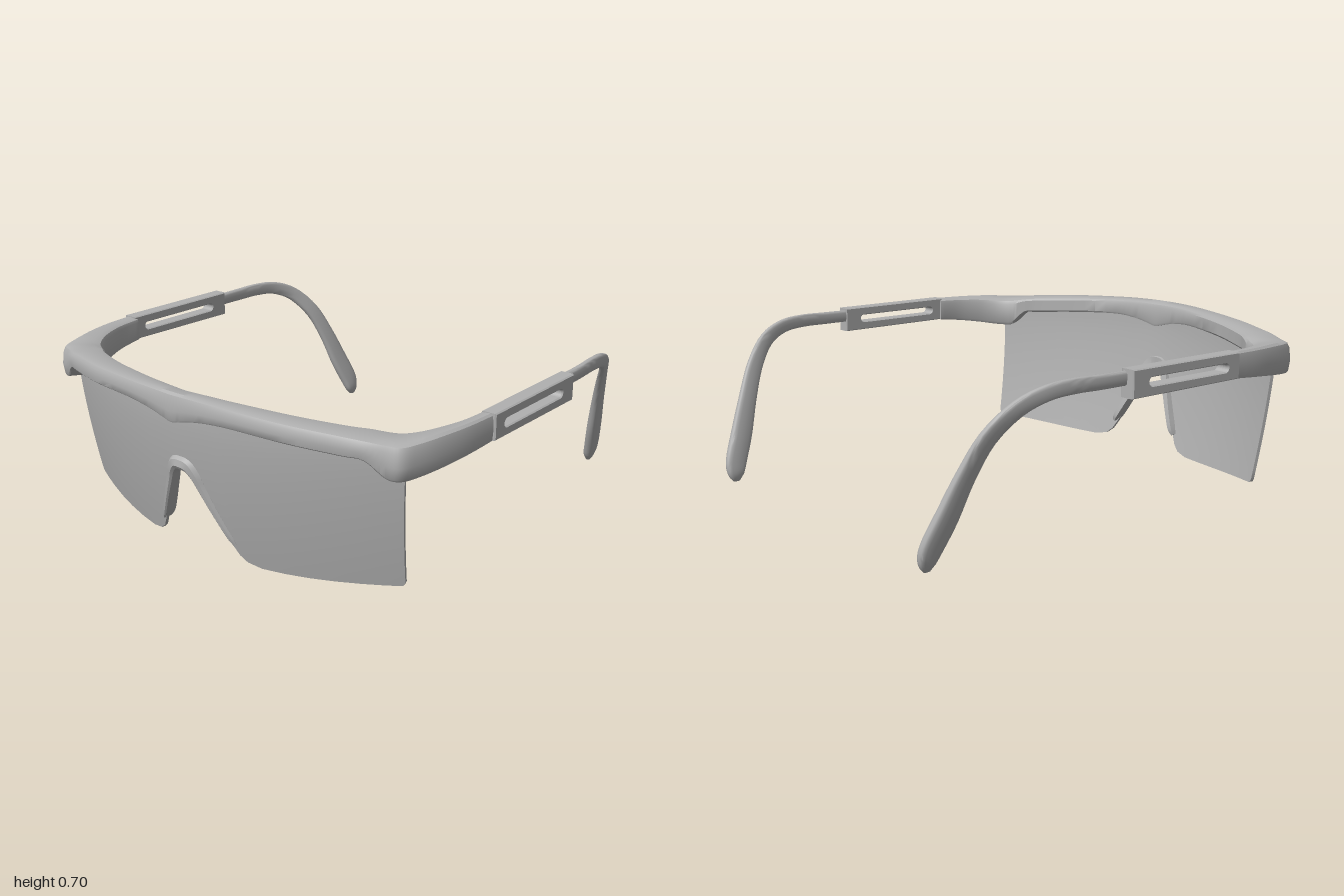
import * as THREE from 'three';
import { toCreasedNormals } from 'three/addons/utils/BufferGeometryUtils.js';

const grey = new THREE.MeshStandardMaterial({ color: 0xb0b0b0 });
grey.name = 'grey plastic';

// Catmull-Rom interpolation of every column of a table of rows
function smoothRows(rows, steps) {
  const out = [];
  const at = (i) => rows[Math.min(Math.max(i, 0), rows.length - 1)];
  for (let i = 0; i < rows.length - 1; i++) {
    for (let s = 0; s < steps; s++) {
      const t = s / steps;
      out.push(rows[i].map((_, c) => {
        const [a, b, d, e] = [at(i - 1)[c], at(i)[c], at(i + 1)[c], at(i + 2)[c]];
        return b + 0.5 * t * (d - a + t * (2 * a - 5 * b + 4 * d - e + t * (3 * (b - d) + e - a)));
      }));
    }
  }
  out.push(rows[rows.length - 1]);
  return out;
}

// Closed, capped skin over a series of equal-length loops of [x, y, z]
function loft(loops, crease = 0.6) {
  const n = loops[0].length, idx = [], pos = loops.flat();
  for (let i = 0; i < loops.length - 1; i++) {
    for (let j = 0; j < n; j++) {
      const a = i * n + j, b = i * n + (j + 1) % n;
      idx.push(a, b, b + n, a, b + n, a + n);
    }
  }
  const last = (loops.length - 1) * n;
  // caps are zipped strip by strip, which suits long thin loops
  for (let l = 0, r = n - 1; l + 1 <= r - 1 || l + 1 === r - 0; l++, r--) {
    if (l + 1 > r - 1) break;
    idx.push(l, r, l + 1, r, r - 1, l + 1);
    idx.push(last + l, last + l + 1, last + r, last + r, last + l + 1, last + r - 1);
  }
  // turn the skin outward if its signed volume is negative
  const v = pos.map((p) => new THREE.Vector3(...p));
  let volume = 0;
  for (let i = 0; i < idx.length; i += 3) {
    volume += v[idx[i]].dot(v[idx[i + 1]].clone().cross(v[idx[i + 2]]));
  }
  if (volume < 0) idx.reverse();
  const g = new THREE.BufferGeometry();
  g.setAttribute('position', new THREE.Float32BufferAttribute(pos.flat(), 3));
  g.setIndex(idx);
  return toCreasedNormals(g, crease);
}

function part(name, geometry) {
  const m = new THREE.Mesh(geometry, grey);
  m.name = name;
  return m;
}

// Front surface of the wraparound lens
function lensZ(x, y) {
  const drop = Math.max(0, (0.6 - y) / 0.6);
  return 0.96 - 0.05 * Math.sqrt(x * x + 0.003) - 0.27 * x * x - 0.095 * Math.pow(drop, 1.5);
}

// Lens: vertical slices following the lower outline with its nose notch
function makeLens() {
  const half = [[0, 0.38], [0.03, 0.377], [0.048, 0.367], [0.065, 0.34], [0.09, 0.29], [0.13, 0.21],
    [0.185, 0.095], [0.21, 0.053], [0.24, 0.028], [0.3, 0.015], [0.4, 0.017], [0.5, 0.022],
    [0.6, 0.029], [0.7, 0.037], [0.78, 0.044], [0.85, 0.05], [0.865, 0.054], [0.872, 0.068]];
  const outline = [...half.slice(1).reverse().map(([x, y]) => [-x, y]), ...half];
  const rows = 14, thick = 0.014;
  return loft(outline.map(([x, bottom]) => {
    const front = [], back = [];
    for (let i = 0; i <= rows; i++) {
      const y = bottom + (0.615 - bottom) * i / rows;
      const low = Math.max(0, (0.5 - y) / 0.5);
      const px = x * (1 - 0.04 * low * Math.pow(Math.abs(x) / 0.87, 4));
      const z = lensZ(px, y);
      front.push([px, y, z]);
      back.unshift([px * 0.995, y, z - thick]);
    }
    return [...front, ...back];
  }), 0.7);
}

// Brow bar sweeping round both corners into the side arms
function makeBrow() {
  // outer x, outer z, inner x, inner z, top y, bottom y
  const half = [
    [0, 0.985, 0, 0.9, 0.7, 0.585], [0.05, 0.984, 0.05, 0.898, 0.7, 0.596],
    [0.12, 0.98, 0.12, 0.892, 0.699, 0.61], [0.25, 0.966, 0.24, 0.873, 0.695, 0.62],
    [0.5, 0.917, 0.47, 0.81, 0.682, 0.607], [0.7, 0.85, 0.65, 0.735, 0.668, 0.592],
    [0.78, 0.82, 0.715, 0.693, 0.661, 0.585], [0.85, 0.788, 0.765, 0.657, 0.656, 0.527],
    [0.9, 0.763, 0.805, 0.628, 0.653, 0.52], [0.928, 0.7, 0.845, 0.585, 0.656, 0.525],
    [0.955, 0.6, 0.88, 0.525, 0.661, 0.536], [0.977, 0.47, 0.912, 0.43, 0.664, 0.55],
    [0.987, 0.32, 0.925, 0.32, 0.666, 0.563]];
  const full = [...half.slice(1).reverse().map(([a, b, c, ...r]) => [-a, b, -c, ...r]), ...half];
  // cross-section: u from outer to inner, v from bottom to top
  const profile = [[0.04, 0], [0, 0.06], [-0.04, 0.4], [0, 0.78], [0.06, 0.93], [0.2, 1],
    [0.75, 0.97], [0.94, 0.9], [1, 0.78], [1, 0.1], [0.95, 0]];
  return loft(smoothRows(full, 4).map(([ox, oz, ix, iz, t, b]) =>
    profile.map(([u, v]) => [ox + (ix - ox) * u, b + (t - b) * v, oz + (iz - oz) * u])));
}

// Nose bridge: raised rim along the notch, deepening into pads at its feet
function makeNoseRim() {
  // x, y, half width, front offset, back offset
  const half = [[0, 0.412, 0.026, 0.022, 0.022], [0.035, 0.405, 0.026, 0.021, 0.024],
    [0.065, 0.37, 0.022, 0.018, 0.03], [0.09, 0.315, 0.018, 0.014, 0.036],
    [0.14, 0.21, 0.014, 0.012, 0.044], [0.18, 0.13, 0.012, 0.01, 0.044], [0.197, 0.098, 0.007, 0.006, 0.03]];
  const path = smoothRows([...half.slice(1).reverse().map(([x, ...r]) => [-x, ...r]), ...half], 4);
  return loft(path.map(([x, y, w, f, b], i) => {
    const p = path[Math.max(i - 1, 0)], q = path[Math.min(i + 1, path.length - 1)];
    const len = Math.hypot(q[0] - p[0], q[1] - p[1]);
    const nx = -(q[1] - p[1]) / len, ny = (q[0] - p[0]) / len;
    const z = lensZ(x, y);
    return [[-1, -b], [-1, f * 0.6], [-0.5, f], [0.5, f * 0.8], [1, 0], [0.8, -b]]
      .map(([s, d]) => [x + nx * w * s, y + ny * w * s, z + d]);
  }));
}

// Slotted sleeve, drawn in side profile and extruded across the arm
function makeSleeve() {
  const s = new THREE.Shape();
  s.moveTo(-0.235, 0.56).lineTo(0.335, 0.563).lineTo(0.335, 0.668).lineTo(-0.235, 0.668).closePath();
  const slot = new THREE.Path();
  slot.moveTo(-0.135, 0.598).lineTo(0.255, 0.598);
  slot.absarc(0.255, 0.614, 0.016, -Math.PI / 2, Math.PI / 2, false);
  slot.lineTo(-0.135, 0.63);
  slot.absarc(-0.135, 0.614, 0.016, Math.PI / 2, Math.PI * 1.5, false);
  s.holes.push(slot);
  const g = new THREE.ExtrudeGeometry(s, {
    depth: 0.052, bevelEnabled: true, bevelSize: 0.004, bevelOffset: -0.004, bevelThickness: 0.006, bevelSegments: 1
  });
  g.rotateY(-Math.PI / 2); // profile runs along z, depth along -x
  g.translate(0.988, 0, 0);
  // slight toe-in toward the back
  const p = g.attributes.position;
  for (let i = 0; i < p.count; i++) p.setX(i, p.getX(i) + 0.012 * (p.getZ(i) - 0.05));
  g.computeVertexNormals();
  return g;
}

// Ear piece: flat bar bending down and inward to a paddle tip
function makeEarPiece() {
  // x, y, z, half height, half thickness
  const rows = smoothRows([[0.945, 0.632, -0.2, 0.027, 0.014], [0.943, 0.633, -0.35, 0.028, 0.014],
    [0.935, 0.634, -0.47, 0.029, 0.014], [0.92, 0.622, -0.58, 0.03, 0.014],
    [0.887, 0.575, -0.685, 0.033, 0.014], [0.835, 0.475, -0.775, 0.037, 0.015],
    [0.792, 0.34, -0.84, 0.041, 0.018], [0.757, 0.2, -0.894, 0.048, 0.021],
    [0.728, 0.09, -0.94, 0.047, 0.021], [0.716, 0.035, -0.951, 0.036, 0.018], [0.712, 0.002, -0.951, 0.014, 0.008]], 4);
  return loft(rows.map(([x, y, z, h, t], i) => {
    const c = (r) => new THREE.Vector3(r[0], r[1], r[2]);
    const dir = c(rows[Math.min(i + 1, rows.length - 1)]).sub(c(rows[Math.max(i - 1, 0)]));
    const up = new THREE.Vector3(0, -dir.z, dir.y).normalize();
    const side = new THREE.Vector3().crossVectors(dir, up).normalize();
    const loop = [];
    for (let k = 0; k < 16; k++) {
      const a = k / 16 * Math.PI * 2;
      const round = (v) => Math.sign(v) * Math.pow(Math.abs(v), 0.6);
      loop.push(c([x, y, z]).addScaledVector(up, h * round(Math.cos(a)))
        .addScaledVector(side, t * round(Math.sin(a))).toArray());
    }
    return loop;
  }), 0.9);
}

export function createModel() {
  const model = new THREE.Group();
  model.name = 'safetyGlasses';
  model.add(part('lens', makeLens()), part('browBar', makeBrow()), part('noseRim', makeNoseRim()));
  const sleeve = makeSleeve(), ear = makeEarPiece();
  for (const [name, side] of [['leftArm', 1], ['rightArm', -1]]) {
    const arm = new THREE.Group();
    arm.name = name;
    arm.add(part('slottedSleeve', sleeve), part('earPiece', ear));
    arm.scale.x = side;
    model.add(arm);
  }
  return model;
}
